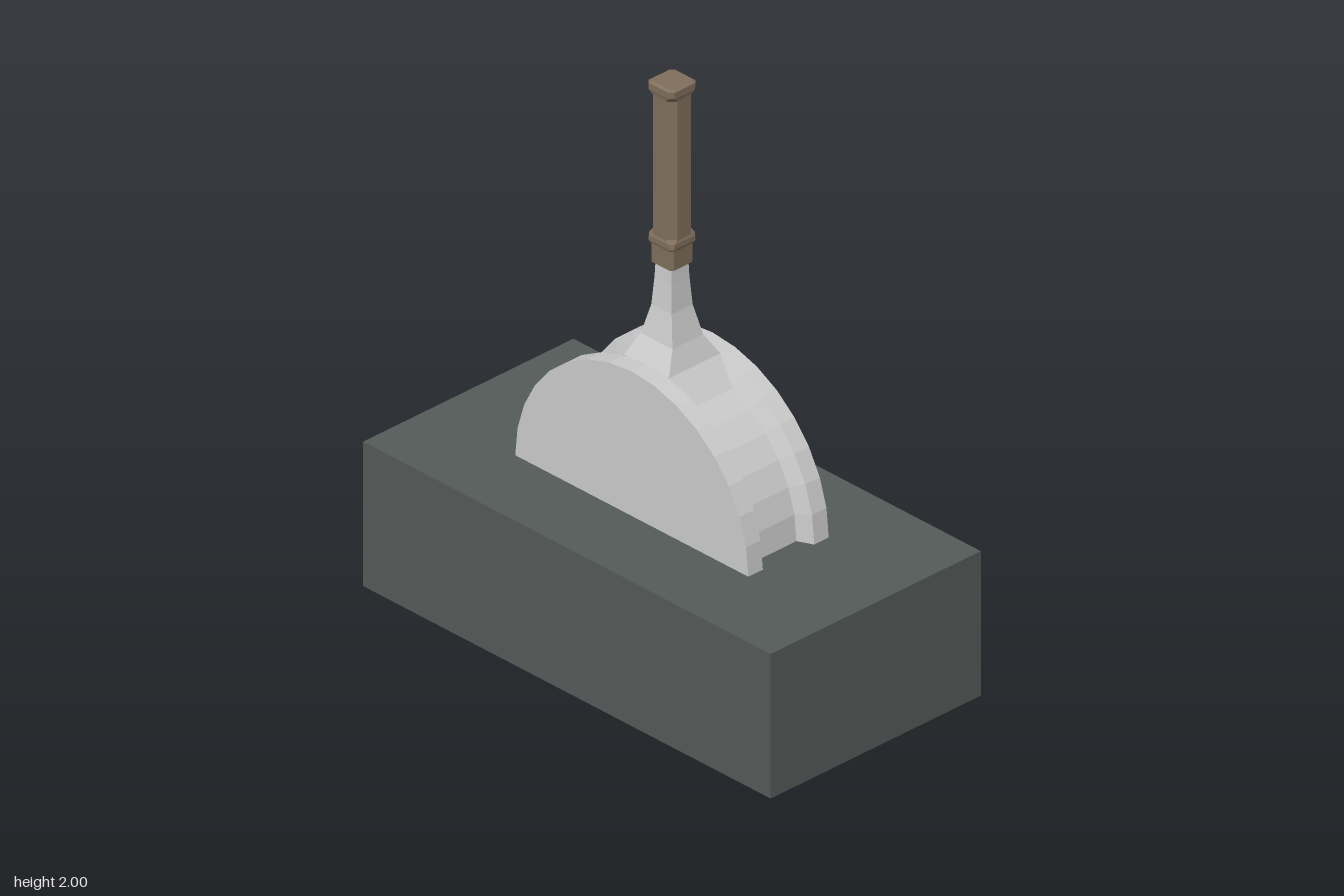
import * as THREE from 'three';

const material = (color) => new THREE.MeshStandardMaterial({ color, flatShading: true });

// Rectangular outline with half sizes hx, hz and corners cut by c, counterclockwise from above
function outline(hx, hz, c) {
  if (!c) return [[hx, hz], [hx, -hz], [-hx, -hz], [-hx, hz]];
  return [
    [hx, hz - c], [hx, c - hz], [hx - c, -hz], [c - hx, -hz],
    [-hx, c - hz], [-hx, hz - c], [c - hx, hz], [hx - c, hz],
  ];
}

// Closed loft through sections [y, hx, hz, corner cut], from bottom to top
function loft(sections) {
  const rings = sections.map(([y, hx, hz, c]) => outline(hx, hz, c).map(([x, z]) => [x, y, z]));
  const n = rings[0].length, last = rings.length - 1;
  const index = [];
  for (let i = 0; i < last; i++) {
    for (let j = 0; j < n; j++) {
      const a = i * n + j, b = i * n + (j + 1) % n;
      index.push(a, b, b + n, a, b + n, a + n);
    }
  }
  for (let j = 1; j < n - 1; j++) {
    index.push(0, j + 1, j);
    index.push(last * n, last * n + j, last * n + j + 1);
  }
  const geometry = new THREE.BufferGeometry();
  geometry.setAttribute('position', new THREE.Float32BufferAttribute(rings.flat(2), 3));
  geometry.setIndex(index);
  const flat = geometry.toNonIndexed();
  flat.computeVertexNormals();
  return flat;
}

export function createModel() {
  const model = new THREE.Group();
  const steel = material(0xcccccc);
  const housing = material(0x555b59);
  const wood = material(0x806f5c);
  const add = (name, geometry, mat) => {
    const mesh = new THREE.Mesh(geometry, mat);
    mesh.name = name;
    model.add(mesh);
    return mesh;
  };

  // Heavy rectangular base
  const baseHeight = 0.515;
  add('base', new THREE.BoxGeometry(0.9, baseHeight, 1.8), housing).position.y = baseHeight / 2;

  // Half drum with a wide groove around its rim
  const R = 0.515, floorR = 0.462;
  const profile = [
    [0, -0.172], [R, -0.172], [R, -0.11], [floorR, -0.085],
    [floorR, 0.085], [R, 0.11], [R, 0.172], [0, 0.172],
  ].map(([r, y]) => new THREE.Vector2(r, y));
  const drum = new THREE.LatheGeometry(profile, 16, 0, Math.PI);
  drum.rotateZ(Math.PI / 2);
  add('grooved drum', drum, steel).position.y = baseHeight;

  // Square lever neck flaring into the groove
  add('lever neck', loft([
    [0.94, 0.085, 0.18, 0], [1.022, 0.11, 0.1, 0], [1.095, 0.066, 0.07, 0],
    [1.2, 0.045, 0.045, 0], [1.3, 0.038, 0.038, 0], [1.4, 0.034, 0.034, 0],
  ]), steel);

  // Ferrule, collar, grip and pommel
  add('ferrule', loft([[1.355, 0.049, 0.049, 0.01], [1.426, 0.05, 0.05, 0.01]]), wood);
  add('collar', loft([
    [1.426, 0.054, 0.054, 0.012], [1.434, 0.057, 0.057, 0.012],
    [1.452, 0.057, 0.057, 0.014], [1.462, 0.053, 0.053, 0.022],
  ]), wood);
  add('grip', loft([[1.45, 0.054, 0.054, 0.026], [1.975, 0.054, 0.054, 0.026]]), wood);
  add('pommel', loft([
    [1.955, 0.053, 0.053, 0.024], [1.972, 0.057, 0.057, 0.013],
    [1.994, 0.057, 0.057, 0.012], [2.0, 0.048, 0.048, 0.012],
  ]), wood);

  return model;
}
